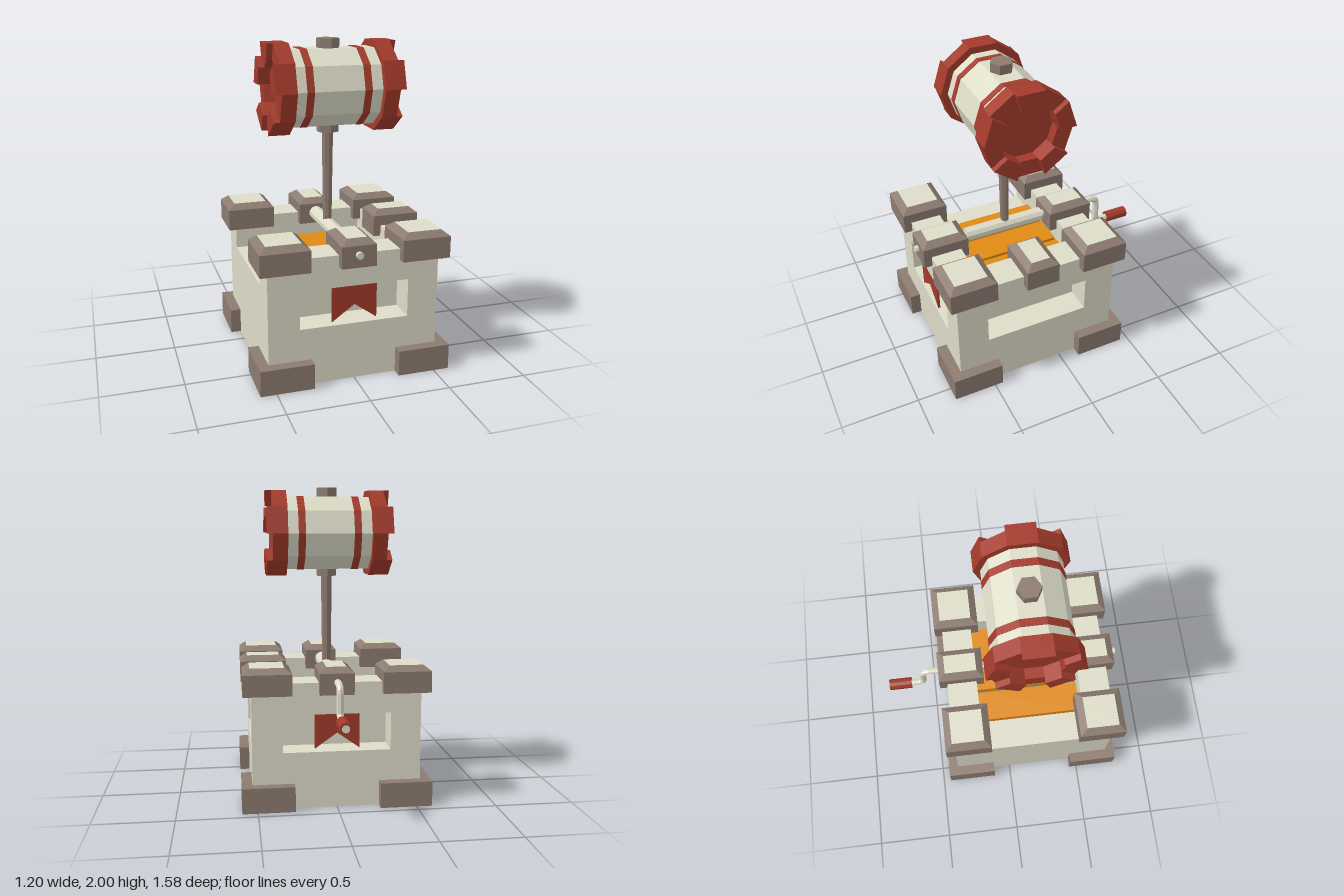
import * as THREE from 'three';

const mat = (color) => new THREE.MeshStandardMaterial({ color, flatShading: true });
const CZ = 0.165; // centre of the tower and hammer along z

export function createModel() {
  const root = new THREE.Group();
  const cream = mat(0xdddcc8), brown = mat(0x8c7b70), red = mat(0xa33a2b), orange = mat(0xde8a14);

  const add = (name, geo, material, x = 0, y = 0, z = 0, parent = root) => {
    const m = new THREE.Mesh(geo, material);
    m.name = name;
    m.position.set(x, y, z);
    parent.add(m);
    return m;
  };
  const polygon = (pts) => new THREE.Shape(pts.map(([x, y]) => new THREE.Vector2(x, y)));
  const extrude = (shape, depth) => new THREE.ExtrudeGeometry(shape, { depth, bevelEnabled: false });

  // Wall with a deep closed window; local z runs from the outer face (0) inwards (-0.2)
  const windowWall = (name, half, windowHalf) => {
    const g = new THREE.Group();
    g.name = name;
    const frame = polygon([[-half, 0], [half, 0], [half, 0.8], [-half, 0.8]]);
    frame.holes.push(polygon([[-windowHalf, 0.36], [-windowHalf, 0.6], [windowHalf, 0.6], [windowHalf, 0.36]]));
    add('windowFrame', extrude(frame, 0.17), cream, 0, 0, -0.17, g);
    add('windowBack', new THREE.BoxGeometry(half * 2, 0.8, 0.03), cream, 0, 0.4, -0.185, g);
    root.add(g);
    return g;
  };

  // Front and back walls with swallow-tailed banners
  const banner = polygon([[-0.14, 0.6], [-0.14, 0.38], [0, 0.48], [0.14, 0.38], [0.14, 0.6]]);
  for (const s of [1, -1]) {
    const wall = windowWall(s > 0 ? 'frontWall' : 'backWall', 0.532, 0.34);
    wall.position.z = CZ + s * 0.545;
    wall.rotation.y = s > 0 ? 0 : Math.PI;
    add('banner', extrude(banner, 0.015), red, 0, 0, -0.02, wall);
  }

  // Side walls: one with a window, the other cut down between the corners
  const side = windowWall('leftWall', 0.345, 0.344);
  side.position.set(0.532, 0, CZ);
  side.rotation.y = Math.PI / 2;
  add('rightWall', new THREE.BoxGeometry(0.2, 0.59, 0.69), cream, -0.432, 0.295, CZ);

  // Corner feet and bevelled battlement caps with pale tops
  const cap = (name, w, d, x, z) => {
    const geo = new THREE.BoxGeometry(w, 0.17, d, 1, 2, 1);
    const p = geo.attributes.position;
    for (let i = 0; i < p.count; i++) {
      const y = p.getY(i);
      if (Math.abs(y) < 0.01) p.setY(i, 0.05);
      if (y > 0.05) {
        p.setX(i, p.getX(i) - Math.sign(p.getX(i)) * 0.045);
        p.setZ(i, p.getZ(i) - Math.sign(p.getZ(i)) * 0.045);
      }
    }
    geo.computeVertexNormals();
    add(name, geo, [brown, brown, cream, brown, brown, brown], x, 0.815, z);
  };
  for (const sz of [1, -1]) {
    for (const sx of [1, -1]) {
      add('cornerFoot', new THREE.BoxGeometry(0.33, 0.16, 0.33), brown, sx * 0.433, 0.08, CZ + sz * 0.447);
      cap('cornerCap', 0.303, 0.303, sx * 0.434, CZ + sz * 0.445);
    }
    cap(sz > 0 ? 'frontCap' : 'backCap', 0.215, 0.303, 0.007, CZ + sz * 0.445);
  }
  cap('leftCap', 0.303, 0.215, 0.437, 0.153);

  // Deck planks
  for (const [x0, x1] of [[-0.335, -0.138], [-0.115, 0.092], [0.112, 0.335]])
    add('deckPlank', new THREE.BoxGeometry(x1 - x0, 0.06, 0.69), orange, (x0 + x1) / 2, 0.61, CZ);

  // Axle bent into a crank, with roller and grip
  const V = (y, z) => new THREE.Vector3(0.005, y, z);
  const path = new THREE.CurvePath();
  path.add(new THREE.LineCurve3(V(0.81, 0.785), V(0.81, -0.49)));
  path.add(new THREE.QuadraticBezierCurve3(V(0.81, -0.49), V(0.81, -0.545), V(0.755, -0.545)));
  path.add(new THREE.LineCurve3(V(0.755, -0.545), V(0.655, -0.545)));
  path.add(new THREE.QuadraticBezierCurve3(V(0.655, -0.545), V(0.612, -0.545), V(0.612, -0.588)));
  path.add(new THREE.LineCurve3(V(0.612, -0.588), V(0.612, -0.787)));
  add('crankAxle', new THREE.TubeGeometry(path, 100, 0.022, 8), cream);
  const rod = (name, r, z0, z1, y, material) => {
    const geo = new THREE.CylinderGeometry(r, r, z1 - z0, 10).rotateX(Math.PI / 2);
    add(name, geo, material, 0.005, y, (z0 + z1) / 2);
  };
  rod('axleEnd', 0.022, 0.77, 0.787, 0.81, cream);
  rod('roller', 0.046, -0.105, 0.435, 0.81, cream);
  rod('crankGrip', 0.038, -0.787, -0.632, 0.612, red);
  rod('gripCore', 0.024, -0.79, -0.75, 0.612, cream);

  // Hammer handle with hexagonal collar and end cap
  const HZ = 0.155;
  add('hammerHandle', new THREE.CylinderGeometry(0.037, 0.029, 0.63, 8), brown, 0.003, 1.125, HZ);
  add('handleCollar', new THREE.CylinderGeometry(0.072, 0.072, 0.07, 6), brown, 0.003, 1.458, HZ);
  add('handleEnd', new THREE.CylinderGeometry(0.072, 0.072, 0.08, 6), brown, 0.003, 1.96, HZ);

  // Hammer head: ten-sided barrel along x
  const head = new THREE.Group();
  head.name = 'hammerHead';
  head.position.set(0.005, 1.706, HZ);
  root.add(head);
  const drum = (name, r, len, x, material) =>
    add(name, new THREE.CylinderGeometry(r, r, len, 10).rotateZ(Math.PI / 2), material, x, 0, 0, head);
  drum('barrel', 0.247, 0.56, 0, cream);

  for (const s of [1, -1]) {
    drum('barrelBand', 0.25, 0.046, s * 0.18, red);
    drum('strikingFace', 0.2, 0.05, s * 0.275, red);
    // Toothed rim made of alternately long and short segments
    const rim = new THREE.Group();
    rim.name = 'toothedRim';
    rim.position.x = s * 0.272;
    rim.rotation.y = s * Math.PI / 2;
    head.add(rim);
    for (let i = 0; i < 10; i++) {
      const a = i * Math.PI / 5, b = a + Math.PI / 5, R = 0.29, r = 0.185;
      const seg = polygon([
        [r * Math.cos(a), r * Math.sin(a)], [R * Math.cos(a), R * Math.sin(a)],
        [R * Math.cos(b), R * Math.sin(b)], [r * Math.cos(b), r * Math.sin(b)],
      ]);
      add('rimSegment', extrude(seg, i % 2 ? 0.095 : 0.133), red, 0, 0, 0, rim);
    }
  }
  return root;
}
